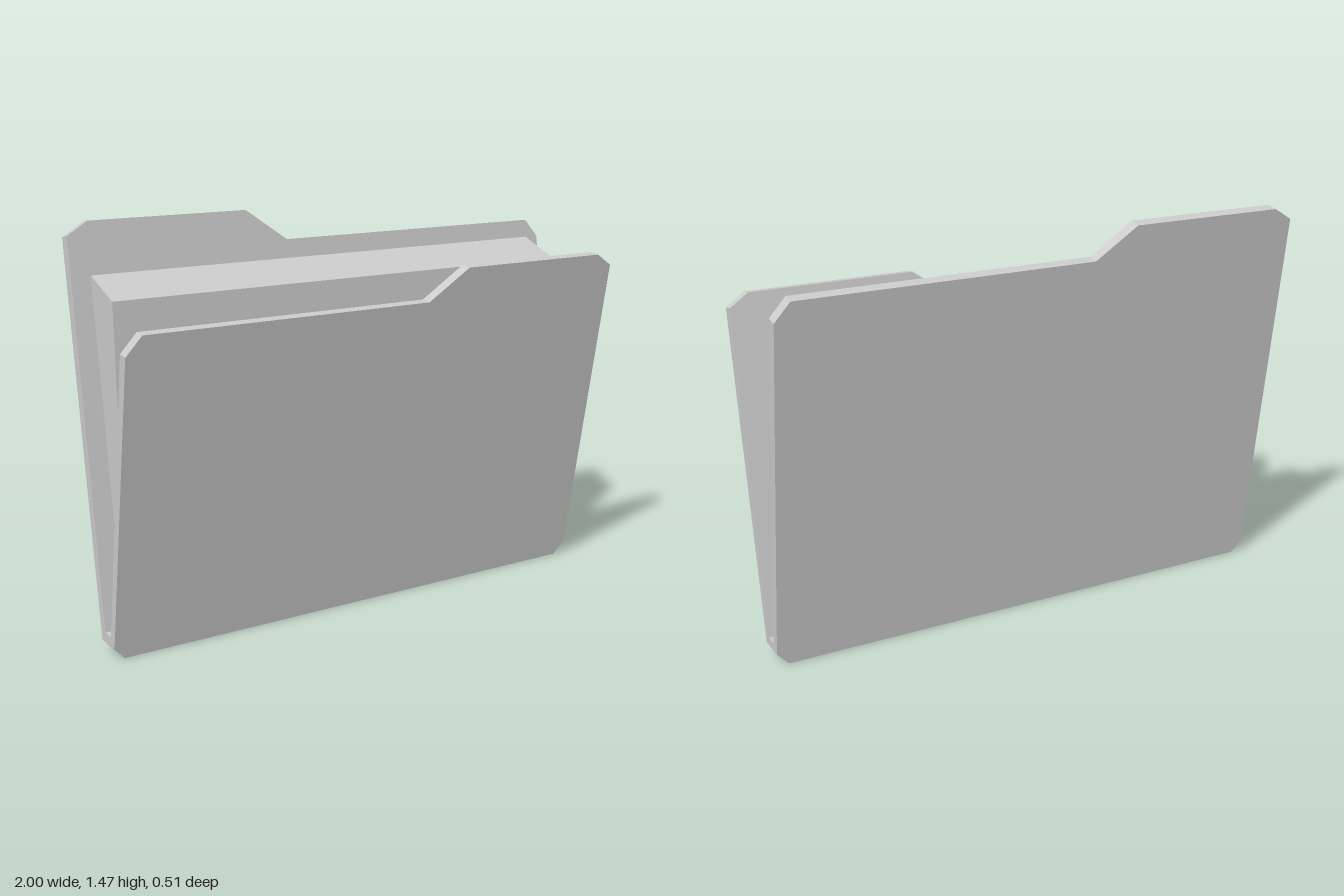
import * as THREE from 'three';

const material = new THREE.MeshStandardMaterial({ color: 0xcccccc, flatShading: true });

// Sloping planes, each giving z as [offset at the base, slope with height]
const FRONT_OUTER = [0.032, 0.176];
const FRONT_INNER = [0, 0.168];
const BACK_INNER = [-0.022, -0.129];
const BACK_OUTER = [-0.055, -0.137];
const PAPER_FRONT = [0.012, -0.026];

// Extrudes an outline between two sloping planes; the scales adjust the height of each side
function slab(name, outline, back, front, backScale = 1, frontScale = 1) {
  const shape = new THREE.Shape(outline.map(([x, y]) => new THREE.Vector2(x, y)));
  const geometry = new THREE.ExtrudeGeometry(shape, { depth: 1, bevelEnabled: false });
  const p = geometry.attributes.position;
  for (let i = 0; i < p.count; i++) {
    const isFront = p.getZ(i) > 0.5;
    const [offset, slope] = isFront ? front : back;
    const y = p.getY(i) * (isFront ? frontScale : backScale);
    p.setY(i, y);
    p.setZ(i, offset + slope * y);
  }
  geometry.computeVertexNormals();
  const mesh = new THREE.Mesh(geometry, material);
  mesh.name = name;
  return mesh;
}

export function createModel() {
  const model = new THREE.Group();
  model.name = 'folder';

  // Chamfered bottom edge shared by the covers and the spine
  const bottom = [[-1, 0.045], [-0.96, 0], [0.955, 0], [1, 0.05]];

  // Front cover with its raised tab on the left
  model.add(slab('frontCover', [
    ...bottom, [1, 1.225], [0.93, 1.27], [0.32, 1.27], [0.16, 1.157], [-0.945, 1.157], [-1, 1.09],
  ], FRONT_INNER, FRONT_OUTER, 1, 0.996));

  // Taller back cover with its tab on the right
  model.add(slab('backCover', [
    ...bottom, [1, 1.285], [0.945, 1.352], [-0.165, 1.352], [-0.325, 1.465], [-0.925, 1.465], [-1, 1.42],
  ], BACK_OUTER, BACK_INNER, 0.994, 1));

  // Spine joining both covers
  model.add(slab('spine', [...bottom, [1, 0.08], [-1, 0.08]], BACK_INNER, FRONT_INNER));

  // Wedge of papers leaning on the back cover, its top sloping down to the front
  model.add(slab('papers', [
    [-0.93, 0.075], [0.942, 0.075], [0.942, 1.285], [-0.93, 1.285],
  ], BACK_INNER, PAPER_FRONT, 1, 0.95));

  return model;
}
